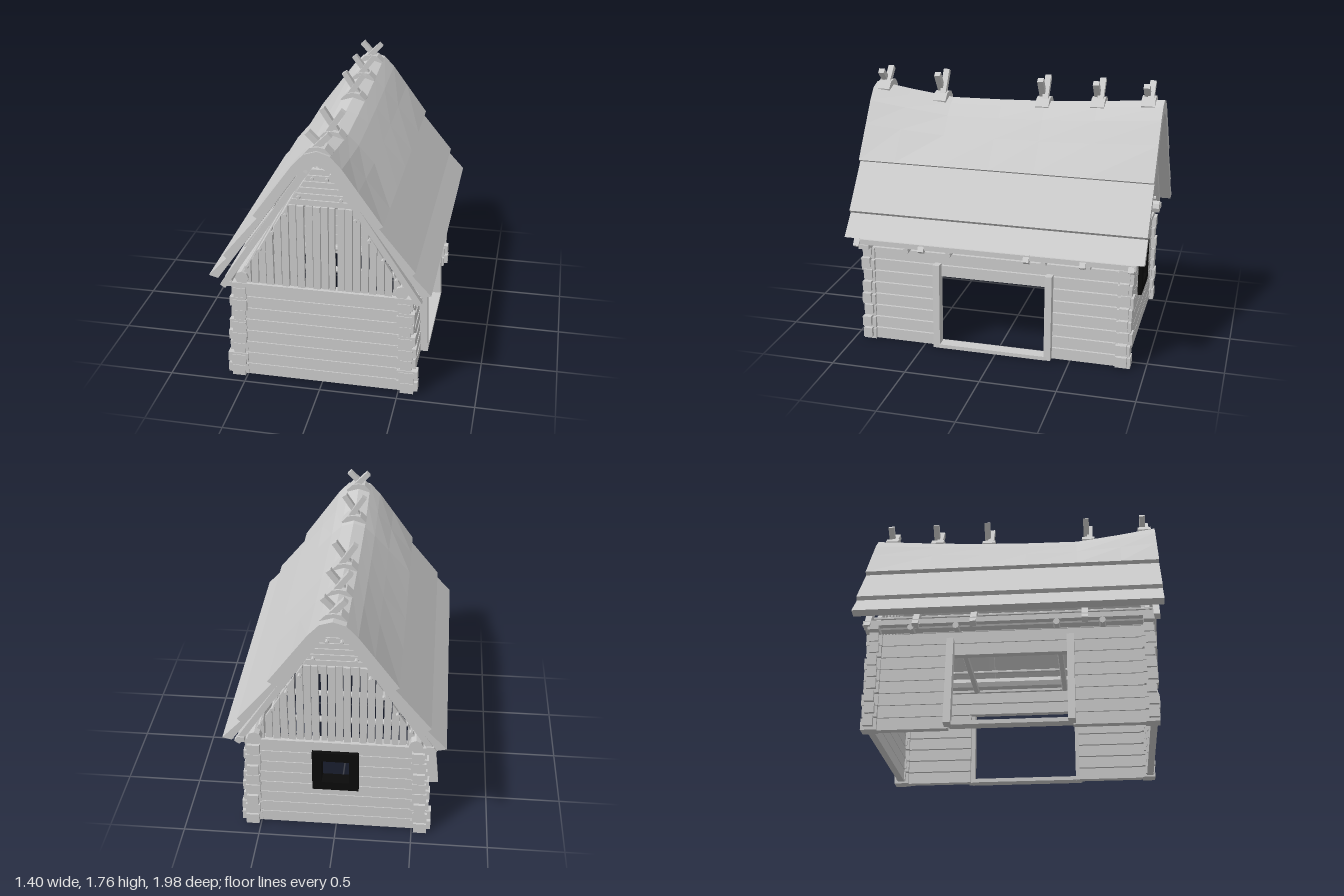
import * as THREE from 'three';

const material = new THREE.MeshStandardMaterial({ color: 0xcccccc, flatShading: true });
const black = new THREE.MeshStandardMaterial({ color: 0x0a0a0a, flatShading: true });

const FRONT = 0.9, BACK = -0.85; // z of the two end walls

function add(parent, name, geometry, mat = material) {
  const mesh = new THREE.Mesh(geometry, mat);
  mesh.name = name;
  parent.add(mesh);
  return mesh;
}

// Box given by its limits on each axis
function slab(parent, name, x0, x1, y0, y1, z0, z1) {
  const mesh = add(parent, name, new THREE.BoxGeometry(Math.abs(x1 - x0), y1 - y0, Math.abs(z1 - z0)));
  mesh.position.set((x0 + x1) / 2, (y0 + y1) / 2, (z0 + z1) / 2);
  return mesh;
}

// Square beam between two points
function beam(parent, name, a, b, width, depth) {
  const from = new THREE.Vector3(...a), to = new THREE.Vector3(...b);
  const mesh = add(parent, name, new THREE.BoxGeometry(width, from.distanceTo(to), depth));
  mesh.position.copy(from).add(to).multiplyScalar(0.5);
  mesh.quaternion.setFromUnitVectors(new THREE.Vector3(0, 1, 0), to.sub(from).normalize());
  return mesh;
}

// Round pole along x or z
function pole(parent, name, axis, radius, length, x, y, z, sides = 8) {
  const geo = new THREE.CylinderGeometry(radius, radius, length, sides);
  if (axis === 'x') geo.rotateZ(Math.PI / 2); else geo.rotateX(Math.PI / 2);
  add(parent, name, geo).position.set(x, y, z);
}

function extrude(points, depth, steps = 1) {
  const shape = new THREE.Shape(points.map(p => new THREE.Vector2(...p)));
  return new THREE.ExtrudeGeometry(shape, { depth, steps, bevelEnabled: false });
}

// Sagging ridge: [z, height]
const ridge = [[1, 1.67], [0.75, 1.63], [0.45, 1.59], [0.1, 1.595], [-0.2, 1.605], [-0.55, 1.625], [-0.98, 1.66]];
function ridgeHeight(z) {
  for (let i = 1; i < ridge.length; i++) {
    const [za, ya] = ridge[i - 1], [zb, yb] = ridge[i];
    if (z >= zb - 1e-6) return ya + (yb - ya) * (za - z) / (za - zb);
  }
  return ridge.at(-1)[1];
}

// Stepped roof, one cross-section swept along z and lowered with the ridge
function buildRoof(group) {
  const outer = [[0.08, 1.645], [0.15, 1.57], [0.25, 1.43], [0.4, 1.22], [0.375, 1.205],
    [0.6, 0.93], [0.58, 0.91], [0.7, 0.78]];
  const inner = [[0.64, 0.765], [0.13, 1.5], [0.07, 1.55]];
  const right = [...outer, ...inner];
  const left = right.map(([x, y]) => [-x, y]).reverse();
  const steps = ridge.length - 1;
  const geo = extrude([[0, 1.67], ...right, [0, 1.58], ...left], steps, steps);
  const pos = geo.attributes.position;
  for (let i = 0; i < pos.count; i++) {
    const [z, top] = ridge[steps - Math.round(pos.getZ(i))];
    const y = pos.getY(i);
    const w = THREE.MathUtils.clamp((y - 1.22) / 0.4, 0, 1);
    pos.setY(i, y + (top - 1.67) * w);
    pos.setZ(i, z);
  }
  geo.computeVertexNormals();
  add(group, 'roof', geo);
}

// Crossed poles on saddles along the ridge
function buildRidgeCrosses(group) {
  for (const z of [0.93, 0.53, -0.18, -0.55, -0.88]) {
    const y = ridgeHeight(z);
    const saddle = extrude([[0, 0.03], [0.045, 0.022], [0.085, -0.02], [0.075, -0.045], [0, -0.02],
      [-0.075, -0.045], [-0.085, -0.02], [-0.045, 0.022]], 0.09);
    add(group, 'ridgeSaddle', saddle).position.set(0, y, z - 0.045);
    for (const s of [-1, 1]) {
      beam(group, 'ridgePole', [-s * 0.04, y - 0.01, z + s * 0.012], [s * 0.07, 1.76, z + s * 0.012], 0.036, 0.04);
    }
  }
}

// Hewn log walls with wider ends crossing at the corners
function buildWalls(group) {
  for (let i = 0; i < 8; i++) {
    const jitter = 0.006 * Math.sin(i * 2.3);
    // end walls
    const y = 0.02 + i * 0.084, reach = 0.625 - i * 0.006 + jitter;
    for (const z of [FRONT, BACK]) {
      const hole = z === BACK && i >= 4 && i <= 6;
      const runs = hole ? [[-0.55, -0.11], [0.11, 0.55]] : [[-0.55, 0.55]];
      for (const [a, b] of runs) slab(group, 'endLog', a, b, y, y + 0.079, z - 0.022, z + 0.022);
      for (const s of [-1, 1]) {
        slab(group, 'endLogHead', s * 0.49, s * reach, y + 0.008, y + 0.074, z - 0.03 + jitter, z + 0.03 + jitter);
      }
    }
    // side walls, cut away at the doorways
    const sy = 0.008 + i * 0.083, x = 0.555 - i * 0.004;
    for (const s of [-1, 1]) {
      const runs = i >= 6 ? [[-0.85, 0.9]] : [[-0.85, -0.36], [0.41, 0.9]];
      for (const [a, b] of runs) slab(group, 'sideLog', s * (x - 0.025), s * (x + 0.025), sy, sy + 0.077, a, b);
      for (const [a, b] of [[0.85, 0.935], [-0.8, -0.9]]) {
        const w = 0.043 + jitter;
        slab(group, 'sideLogHead', s * (x - w), s * (x + w), sy, sy + 0.074, a, b + jitter);
      }
    }
  }
}

// Doorway posts and sills on both sides
function buildDoorways(group) {
  for (const s of [-1, 1]) {
    const foot = s < 0 ? 0.635 : 0.595;
    for (const z of [0.405, -0.355]) {
      beam(group, 'doorPost', [s * foot, 0.012, z], [s * 0.575, 0.6, z], 0.07, 0.045);
    }
    slab(group, 'doorSill', s * 0.55, s * 0.63, 0.012, 0.038, -0.35, 0.41);
  }
}

// Dark window frame in the back wall
function buildWindow(group) {
  const shape = new THREE.Shape([[-0.15, 0.335], [0.15, 0.335], [0.15, 0.63], [-0.15, 0.63]].map(p => new THREE.Vector2(...p)));
  shape.holes.push(new THREE.Path([[-0.09, 0.395], [-0.09, 0.565], [0.09, 0.565], [0.09, 0.395]].map(p => new THREE.Vector2(...p))));
  const geo = new THREE.ExtrudeGeometry(shape, { depth: 0.09, bevelEnabled: false });
  add(group, 'windowFrame', geo, black).position.z = -0.9;
}

// Gables: upright planks below, level planks above
function buildGables(group) {
  const slopeY = x => 0.72 + (0.535 - Math.abs(x)) * 1.65;
  const slopeX = y => 0.535 - (y - 0.72) / 1.65;
  for (const z of [FRONT, BACK]) {
    for (let i = 0; i < 20; i++) {
      const a = -0.5 + i * 0.05 + 0.003, b = a + 0.044 - (i === 11 ? 0.008 : 0);
      const lean = 0.003 * Math.sin(i * 1.7);
      const top = x => Math.min(1.27, slopeY(x));
      const plank = extrude([[a, 0.69], [b, 0.69], [b + lean, top(b)], [a + lean, top(a)]], 0.028);
      add(group, 'gablePlank', plank).position.z = z - 0.014 + 0.005 * Math.sin(i * 2.9);
    }
    for (let i = 0; i < 6; i++) {
      const y = 1.277 + i * 0.041, t = y + 0.036;
      const w = slopeX(y), v = slopeX(t);
      add(group, 'gableTopPlank', extrude([[-w, y], [w, y], [v, t], [-v, t]], 0.025)).position.z = z - 0.012;
    }
    slab(group, 'gableTie', -0.63, 0.63, 0.675, 0.705, z - 0.035, z + 0.035);
  }
}

// Wall plates, rafters, battens and tie beams
function buildRoofFrame(group) {
  for (const s of [-1, 1]) {
    pole(group, 'wallPlate', 'z', 0.045, 1.85, s * 0.51, 0.74, 0.005);
    slab(group, 'eavesBeam', s * 0.575, s * 0.62, 0.705, 0.74, -0.92, 0.93);
    for (const z of [0.95, 0.5, -0.21, -0.58, -0.89]) {
      beam(group, 'rafter', [s * 0.625, 0.69, z], [s * 0.085, 1.53 + ridgeHeight(z) - 1.67, z], 0.04, 0.04);
    }
    for (let i = 0; i < 6; i++) {
      pole(group, 'batten', 'z', 0.012, 1.83, s * (0.475 - i * 0.086), 0.82 + i * 0.128, 0.02, 6);
    }
  }
  for (const z of [0.61, 0.32, -0.32, -0.61]) pole(group, 'tieBeam', 'x', 0.021, 1.24, 0, 0.686, z);
}

export function createModel() {
  const model = new THREE.Group();
  model.name = 'logHouse';
  const parts = {
    walls: buildWalls, doorways: buildDoorways, window: buildWindow, gables: buildGables,
    roofFrame: buildRoofFrame, roofCover: buildRoof, ridgeCrosses: buildRidgeCrosses,
  };
  for (const [name, build] of Object.entries(parts)) {
    const group = new THREE.Group();
    group.name = name;
    build(group);
    model.add(group);
  }
  return model;
}
